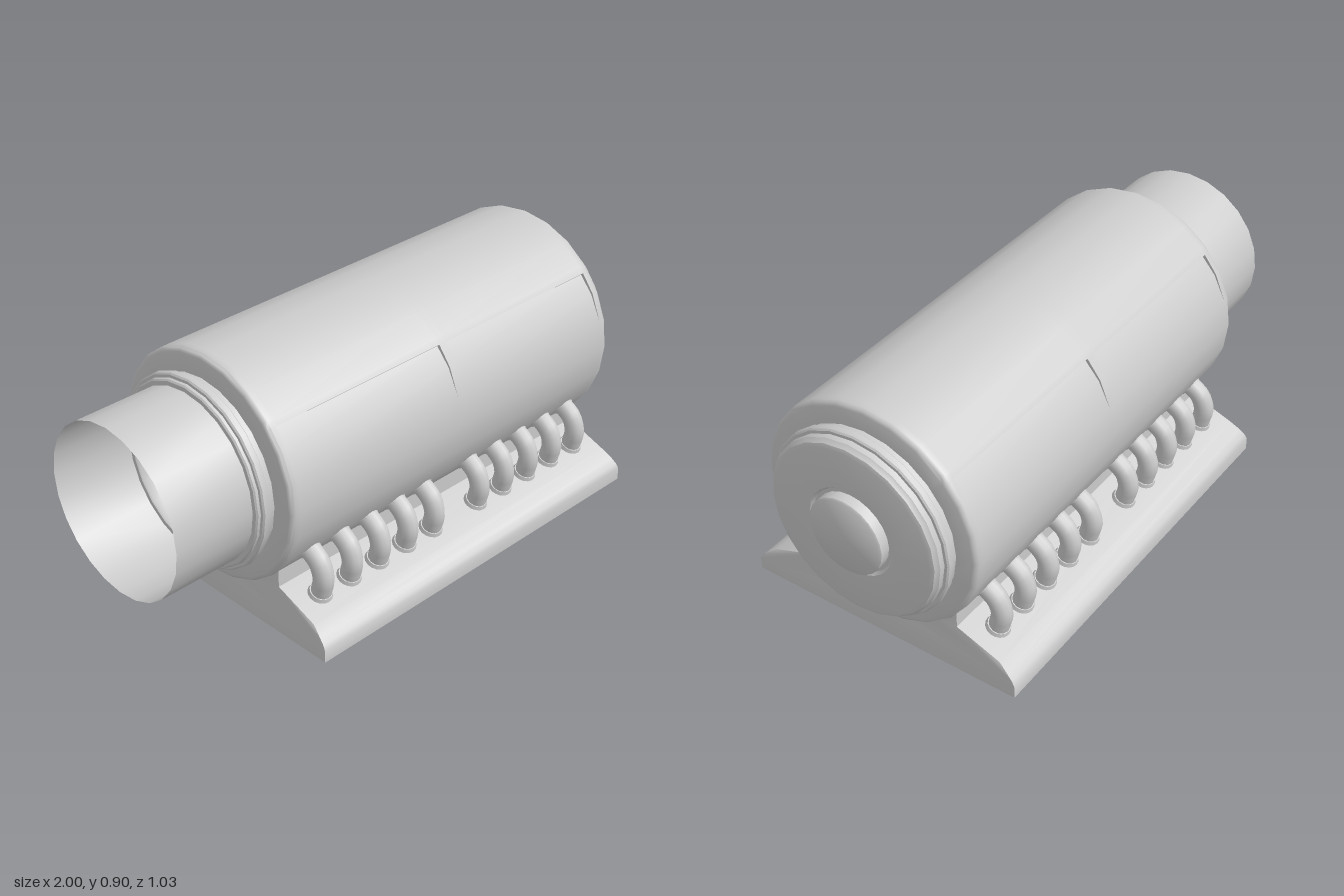
import * as THREE from 'three';
import { toCreasedNormals } from 'three/addons/utils/BufferGeometryUtils.js';

const AXIS = 0.5;      // height of the drum axis
const R = 0.4;         // drum radius
const SIDES = 24;
const DEG = Math.PI / 180;
const material = new THREE.MeshStandardMaterial({ color: 0xcccccc });
const thin = new THREE.MeshStandardMaterial({ color: 0xcccccc, side: THREE.DoubleSide });

function add(parent, name, geometry, mat = material) {
  const mesh = new THREE.Mesh(geometry, mat);
  mesh.name = name;
  parent.add(mesh);
  return mesh;
}

// Turned part along x, from [x, radius] points
function turned(points) {
  const g = new THREE.LatheGeometry(points.map(([x, r]) => new THREE.Vector2(r, x)), SIDES);
  g.rotateZ(-Math.PI / 2).translate(0, AXIS, 0);
  return toCreasedNormals(g, 0.7);
}

// Grid of rows of points, skinned as quads
function skin(rows) {
  const n = rows[0].length, index = [];
  for (let i = 0; i < rows.length - 1; i++) {
    for (let j = 0; j < n - 1; j++) {
      const a = i * n + j, b = a + 1, c = a + n, d = c + 1;
      index.push(a, b, c, b, d, c);
    }
  }
  const g = new THREE.BufferGeometry();
  g.setAttribute('position', new THREE.Float32BufferAttribute(rows.flat(2), 3));
  g.setIndex(index);
  return toCreasedNormals(g, 0.7);
}

// Drum with two shallow panel recesses per side, fading out downwards
function drumGeometry() {
  const top = 48.5, bottom = 75, depth = 0.012;
  const angles = [];
  for (let i = 0; i <= SIDES; i++) angles.push({ a: i * 15, sunk: true });
  for (const a of [top, 360 - top]) {
    angles.push({ a, sunk: false }, { a, sunk: true });
  }
  const order = (p) => p.a + (p.sunk === (p.a < 180) ? 1e-4 : 0);
  angles.sort((p, q) => order(p) - order(q));

  const rows = [[-0.635, 0.32], [-0.635, 0.385], [-0.63, 0.395], [-0.62, R]];
  for (const [x0, x1] of [[-0.6, 0.11], [0.14, 0.845]]) {
    rows.push([x0, R], [x0, R, true], [x1, R, true], [x1, R]);
  }
  rows.push([0.865, R], [0.875, 0.395], [0.88, 0.385], [0.88, 0.32]);

  return skin(rows.map(([x, r, panel]) => angles.map(({ a, sunk }) => {
    // stay on the flat facets between the corners
    const off = (a % 15) - 7.5;
    let rad = r * Math.cos(7.5 * DEG) / Math.cos(off * DEG);
    const fromTop = Math.min(a, 360 - a);
    if (panel && sunk && fromTop >= top && fromTop < bottom) {
      rad -= depth * (bottom - fromTop) / (bottom - top);
    }
    return [x, AXIS + rad * Math.cos(a * DEG), rad * Math.sin(a * DEG)];
  })));
}

// Base section: [z, y, inset of the ends]
const SECTION = [
  [0.515, 0, 0], [0.515, 0.045, 0], [0.505, 0.062, 0.002], [0.485, 0.08, 0.006],
  [0.45, 0.105, 0.015], [0.29, 0.165, 0.015], [0.29, 0.235, 0.015],
];
const X0 = -0.615, X1 = 0.86;

function insetAt(y) {
  for (let i = 1; i < SECTION.length; i++) {
    const [, y0, a] = SECTION[i - 1], [, y1, b] = SECTION[i];
    if (y <= y1) return a + (b - a) * (y - y0) / (y1 - y0);
  }
  return 0.015;
}

function buildBase(group) {
  const base = new THREE.Group();
  base.name = 'base';
  group.add(base);
  // sloping side skirts, open underneath
  for (const s of [1, -1]) {
    const ends = [SECTION.map(([z, y, i]) => [X0 + i, y, s * z]),
      SECTION.map(([z, y, i]) => [X1 - i, y, s * z])];
    add(base, 'baseSide', skin(s > 0 ? ends.map((e) => e.reverse()) : ends), thin);
  }
  // end plates with a cradle cut for the drum
  const pts = SECTION.map(([z, y]) => new THREE.Vector2(z, y));
  const cradle = [];
  for (let i = -3; i <= 3; i++) {
    const a = i * 15 * DEG;
    cradle.push(new THREE.Vector2(-Math.sin(a) * 0.395, AXIS - Math.cos(a) * 0.395));
  }
  const mirrored = pts.map((p) => new THREE.Vector2(-p.x, p.y)).reverse();
  const shape = new THREE.Shape([...pts, ...cradle, ...mirrored]);
  for (const end of [1, -1]) {
    const g = new THREE.ShapeGeometry(shape);
    const p = g.attributes.position;
    for (let i = 0; i < p.count; i++) {
      const z = p.getX(i), y = p.getY(i), inset = insetAt(y);
      p.setXYZ(i, end > 0 ? X1 - inset : X0 + inset, y, -z);
    }
    if (end < 0) g.index.array.reverse();
    add(base, 'baseEnd', toCreasedNormals(g, 0.7), thin);
  }
}

// Bent pipes joining drum and base, with a collar at each end
function buildPipes(group) {
  const path = new THREE.CatmullRomCurve3([
    [0.29, 0.298], [0.335, 0.279], [0.373, 0.25], [0.39, 0.2], [0.383, 0.16], [0.368, 0.11],
  ].map(([z, y]) => new THREE.Vector3(0, y, z)));
  const tube = new THREE.TubeGeometry(path, 14, 0.035, 12, false);
  const collar = new THREE.CylinderGeometry(0.038, 0.043, 0.014, 16);
  const collars = [
    { y: 0.279, z: 0.328, tilt: 124 },
    { y: 0.139, z: 0.376, tilt: 20.5 },
  ];
  for (const s of [1, -1]) {
    for (const start of [-0.5, 0.235]) {
      for (let i = 0; i < 5; i++) {
        const pipe = new THREE.Group();
        pipe.name = 'pipe';
        pipe.position.x = start + i * 0.1275;
        if (s < 0) pipe.rotation.y = Math.PI;
        add(pipe, 'pipeBend', tube, thin);
        for (const c of collars) {
          const m = add(pipe, 'pipeCollar', collar);
          m.position.set(0, c.y, c.z);
          m.rotation.x = c.tilt * DEG;
        }
        group.add(pipe);
      }
    }
  }
}

export function createModel() {
  const model = new THREE.Group();
  model.name = 'drumMachine';

  add(model, 'drum', drumGeometry());

  // open duct and the stepped flange it sits in
  add(model, 'duct', turned([[-1, 0.3], [-0.69, 0.3]]), thin);
  add(model, 'ductFlange', turned([
    [-0.66, 0], [-0.66, 0.27], [-0.7, 0.28], [-0.705, 0.285], [-0.705, 0.315], [-0.7, 0.32],
    [-0.69, 0.32], [-0.69, 0.33], [-0.685, 0.335], [-0.665, 0.335], [-0.66, 0.33],
    [-0.66, 0.32], [-0.635, 0.32],
  ]));

  // stepped end cap with a shallow groove around the hub
  add(model, 'endCap', turned([
    [0.88, 0.325], [0.9, 0.325], [0.9, 0.33], [0.905, 0.335], [0.925, 0.335], [0.93, 0.33],
    [0.93, 0.32], [0.95, 0.32], [0.955, 0.315], [0.965, 0.31], [0.97, 0.296],
    [0.97, 0.158], [0.96, 0.15], [0.96, 0],
  ]));
  add(model, 'hub', turned([[0.955, 0.138], [0.995, 0.138], [1, 0.132], [1, 0]]));

  buildBase(model);
  buildPipes(model);
  return model;
}
